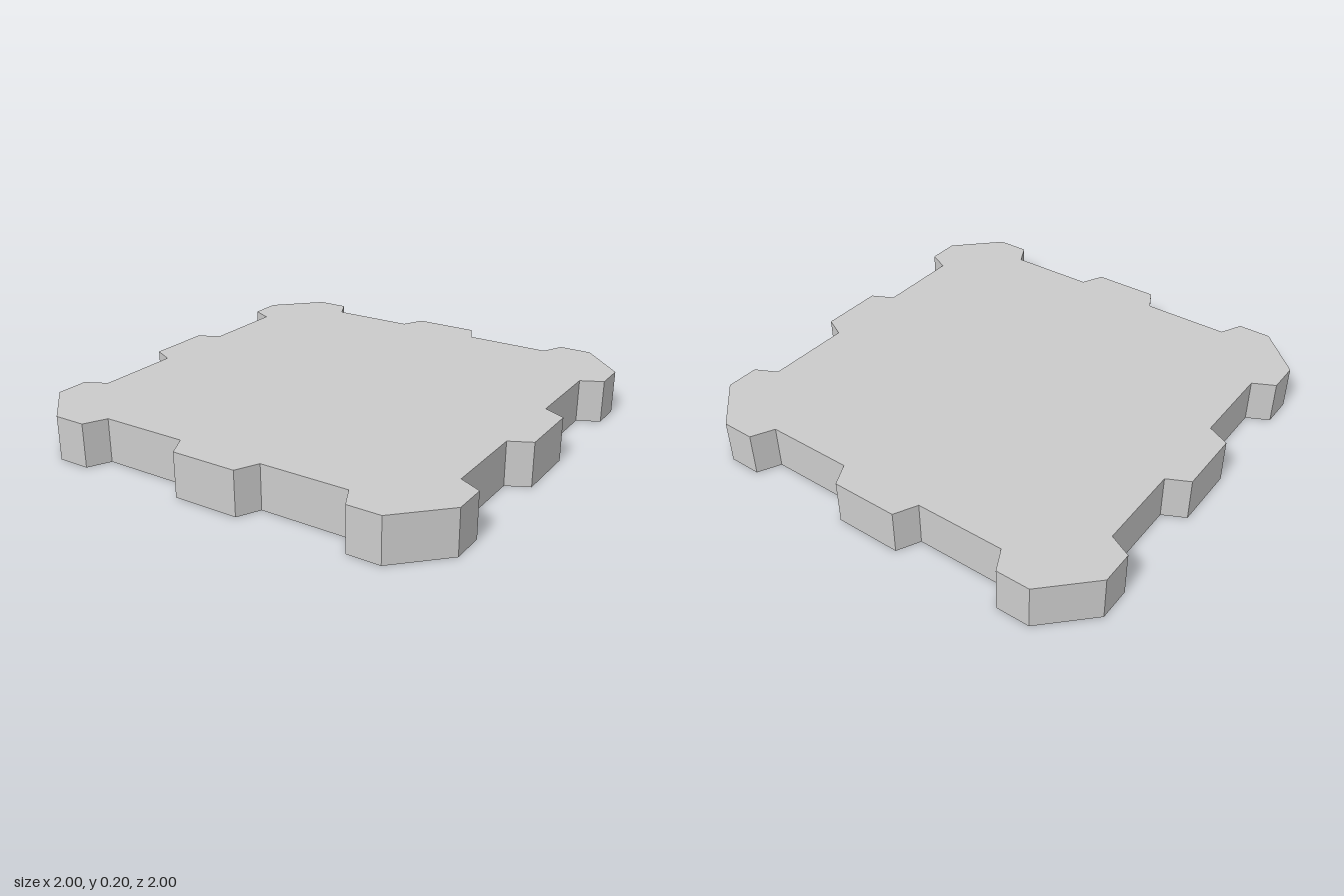
import * as THREE from 'three';

const THICKNESS = 0.2;

// One side of the tile outline, from corner chamfer to corner chamfer:
// corner tab, notch, middle tab, notch, corner tab.
const SIDE = [
  [-0.8, -1], [-0.65, -1], [-0.6, -0.9], [-0.2, -0.9], [-0.15, -1],
  [0.15, -1], [0.2, -0.9], [0.6, -0.9], [0.65, -1], [0.8, -1],
];

// Repeat the side at each quarter turn; the gaps between become the chamfers.
function tileOutline() {
  const points = [];
  let side = SIDE;
  for (let i = 0; i < 4; i++) {
    points.push(...side.map(([x, y]) => new THREE.Vector2(x, y)));
    side = side.map(([x, y]) => [-y, x]);
  }
  return new THREE.Shape(points);
}

export function createModel() {
  const group = new THREE.Group();
  group.name = 'floorTile';

  // Flat slab, extruded upward from the ground
  const geometry = new THREE.ExtrudeGeometry(tileOutline(), { depth: THICKNESS, bevelEnabled: false });
  geometry.rotateX(-Math.PI / 2);

  const slab = new THREE.Mesh(
    geometry,
    new THREE.MeshStandardMaterial({ color: 0xcccccc, flatShading: true }),
  );
  slab.name = 'notchedSlab';
  group.add(slab);

  return group;
}
